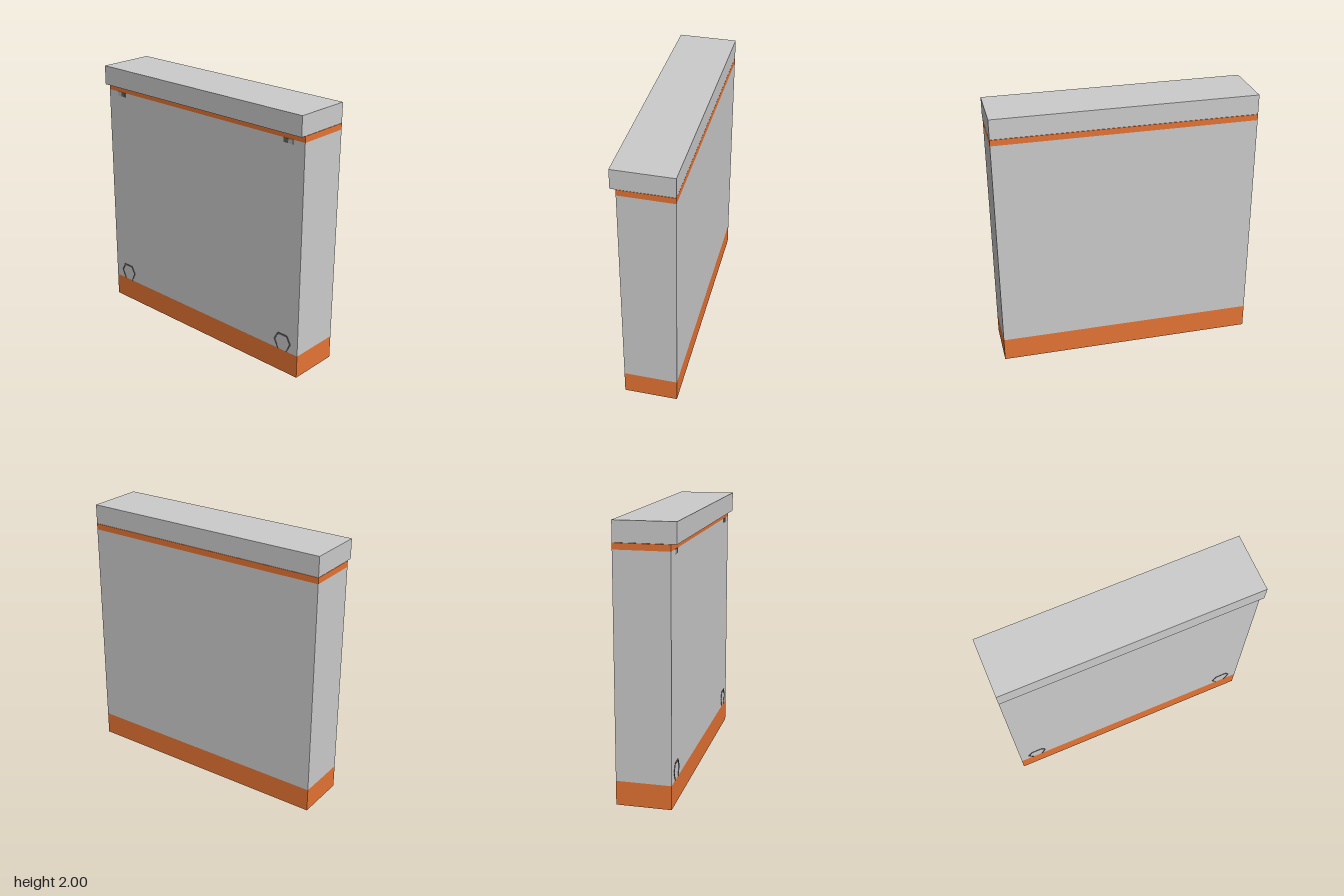
import * as THREE from 'three';

const grey = new THREE.MeshStandardMaterial({ color: 0xcccccc });
const orange = new THREE.MeshStandardMaterial({ color: 0xe67434 });
const dark = new THREE.MeshStandardMaterial({ color: 0x636363 });
const pale = new THREE.MeshStandardMaterial({ color: 0xb8b8b8 });

const HALF = 0.977, BACK = -0.22, FRONT = 0.18, LIP = 0.22;

export function createModel() {
  const group = new THREE.Group();

  const add = (name, geometry, material, x = 0, y = 0, z = 0) => {
    const mesh = new THREE.Mesh(geometry, material);
    mesh.name = name;
    mesh.position.set(x, y, z);
    group.add(mesh);
    return mesh;
  };

  // Full-width slab between two heights, flush at the back
  const slab = (name, y0, y1, front, material) =>
    add(name, new THREE.BoxGeometry(2 * HALF, y1 - y0, front - BACK), material,
      0, (y0 + y1) / 2, (front + BACK) / 2);

  // Horizontal sheet facing down
  const underside = (name, y, z0, z1, material) => {
    const sheet = new THREE.PlaneGeometry(2 * HALF, z1 - z0).rotateX(Math.PI / 2);
    add(name, sheet, material, 0, y, (z0 + z1) / 2);
  };

  // Stacked panel: plinth, wall, trim and overhanging cap
  slab('baseBand', 0.002, 0.18, FRONT, orange);
  slab('wallPanel', 0.18, 1.805, FRONT, grey);
  slab('topBand', 1.805, 1.85, FRONT, orange);
  slab('cap', 1.852, 2, LIP, grey);
  underside('baseUnderside', 0, BACK, FRONT, grey);
  underside('capUnderside', 1.85, FRONT, LIP, orange);

  // Open hexagonal loop, slimmer towards its lower ends
  const loop = new THREE.Shape([
    [-0.043, 0.18], [-0.079, 0.25], [-0.045, 0.313], [0.045, 0.313], [0.079, 0.25], [0.043, 0.18],
    [0.036, 0.18], [0.066, 0.25], [0.038, 0.3], [-0.038, 0.3], [-0.066, 0.25], [-0.036, 0.18],
  ].map(([x, y]) => new THREE.Vector2(x, y)));
  const loopGeometry = new THREE.ExtrudeGeometry(loop, { depth: 0.003, bevelEnabled: false });
  const tabGeometry = new THREE.BoxGeometry(0.042, 0.033, 0.004);

  // Mirrored fittings on the front face
  for (const [side, s] of [['left', 1], ['right', -1]]) {
    add(side + 'Loop', loopGeometry, dark, s * 0.835, 0, FRONT);
    add(side + 'ClipInner', tabGeometry, dark, s * 0.815, 1.789, FRONT + 0.001);
    add(side + 'ClipOuter', tabGeometry, pale, s * 0.857, 1.789, FRONT + 0.001);
  }

  return group;
}
